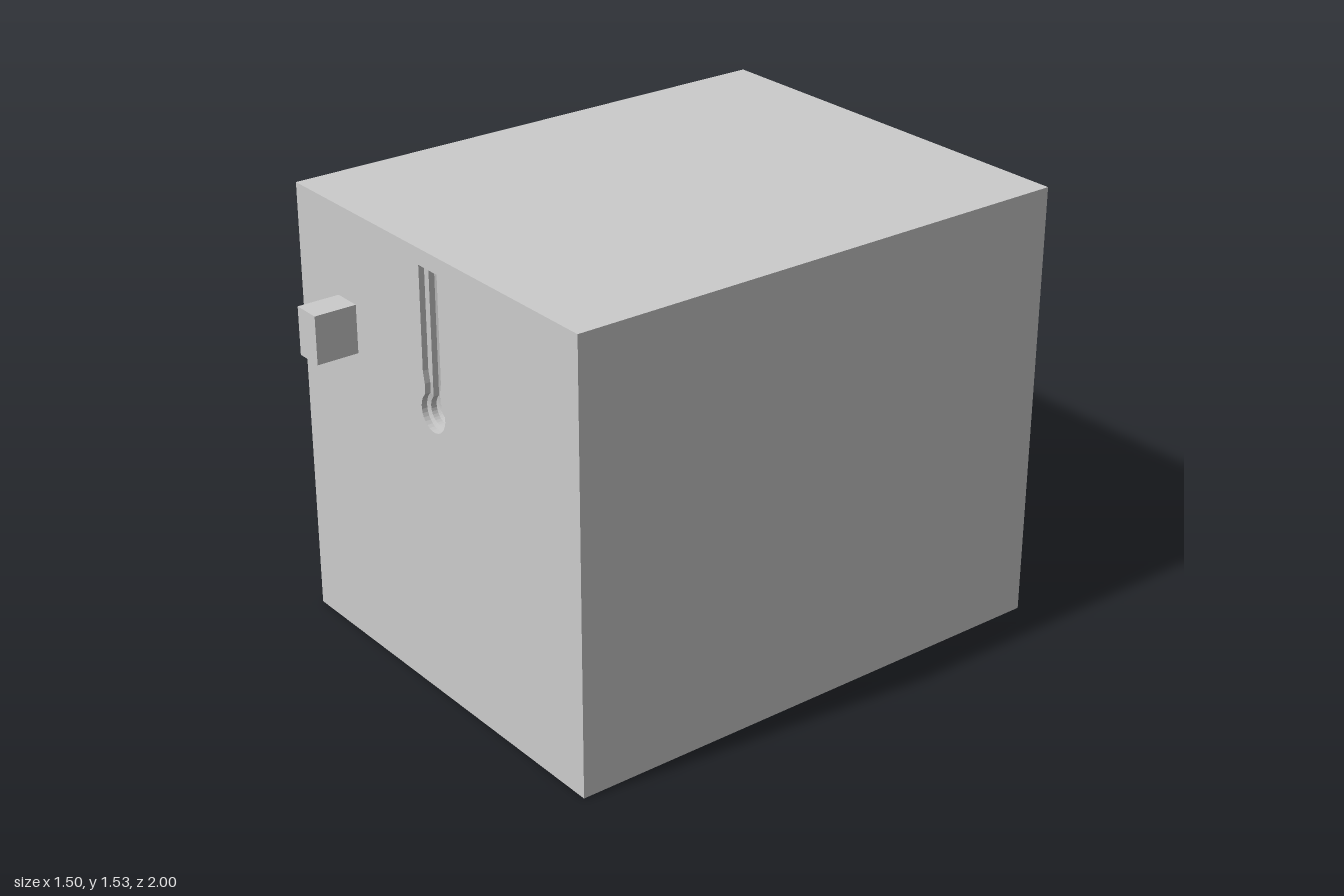
import * as THREE from 'three';

const W = 0.752, H = 1.535, BACK = -1, FRONT = 0.85, TIP = 1;
const material = new THREE.MeshStandardMaterial({ color: 0xcccccc, side: THREE.DoubleSide });

// Skin a list of { pts, z } outlines (counter-clockwise from the front) with flat faces
function loft(rings, closed = true) {
  const pos = [];
  for (let r = 0; r < rings.length - 1; r++) {
    const A = rings[r], B = rings[r + 1], n = A.pts.length;
    for (let i = 0; i < (closed ? n : n - 1); i++) {
      const j = (i + 1) % n;
      const a = [...A.pts[i], A.z], b = [...A.pts[j], A.z];
      const c = [...B.pts[j], B.z], d = [...B.pts[i], B.z];
      pos.push(...a, ...b, ...c, ...a, ...c, ...d);
    }
  }
  const g = new THREE.BufferGeometry();
  g.setAttribute('position', new THREE.Float32BufferAttribute(pos, 3));
  g.computeVertexNormals();
  return g;
}

// Flat sheet facing the front, with optional holes
const vectors = (pts) => pts.map(([x, y]) => new THREE.Vector2(x, y));
function sheet(pts, z, holes = []) {
  const shape = new THREE.Shape(vectors(pts));
  holes.forEach((h) => shape.holes.push(new THREE.Path(vectors(h))));
  return new THREE.ShapeGeometry(shape).translate(0, 0, z);
}

const rect = (x0, x1, y0, y1) => [[x1, y0], [x1, y1], [x0, y1], [x0, y0]];

// Long slot that necks in and ends in a round bulb
function slotOutline(w, neck, radius, cy) {
  const start = Math.asin(Math.min(1, neck / radius));
  const right = [];
  for (let i = 0; i <= 12; i++) {
    const a = Math.PI - (Math.PI - start) * (i / 12); // measured from straight up
    right.push([radius * Math.sin(a), cy + radius * Math.cos(a)]);
  }
  right.push([neck, 1.09], [w, 1.13], [w, 1.48]);
  const left = right.slice(1).reverse().map(([x, y]) => [-x, y]);
  return [...right, ...left];
}

export function createModel() {
  const model = new THREE.Group();
  const add = (name, geometry, parent = model) => {
    const mesh = new THREE.Mesh(geometry, material);
    mesh.name = name;
    parent.add(mesh);
  };

  const wall = rect(-W, W, 0, H);
  const knob = rect(-0.527, -0.425, 1.055, 1.222);
  const outer = slotOutline(0.05, 0.042, 0.065, 1.005);
  const middle = slotOutline(0.034, 0.034, 0.05, 1.005);
  const inner = slotOutline(0.029, 0.029, 0.032, 1.0);

  // Hollow housing, open underneath
  add('sidesAndTop', loft([{ pts: wall, z: BACK }, { pts: wall, z: FRONT }].map(
    ({ pts, z }) => ({ pts: [pts[0], pts[1], pts[2], pts[3]], z })), false));
  add('backWall', new THREE.PlaneGeometry(2 * W, H).rotateY(Math.PI).translate(0, H / 2, BACK));
  add('frontWall', sheet(wall, FRONT, [knob, outer]));

  // Hollow block standing out of the front wall
  const block = new THREE.Group();
  block.name = 'frontKnob';
  add('knobSides', loft([{ pts: knob, z: FRONT }, { pts: knob, z: TIP }]), block);
  add('knobCap', sheet(knob, TIP), block);
  model.add(block);

  // Stepped recess sunk into the front wall
  const recess = new THREE.Group();
  recess.name = 'slotRecess';
  add('slotWalls', loft([
    { pts: outer, z: FRONT },
    { pts: outer, z: FRONT - 0.02 },
    { pts: middle, z: FRONT - 0.025 },
    { pts: middle, z: FRONT - 0.045 },
    { pts: inner, z: FRONT - 0.05 },
  ]), recess);
  add('slotFloor', sheet(inner, FRONT - 0.05), recess);
  model.add(recess);

  return model;
}
